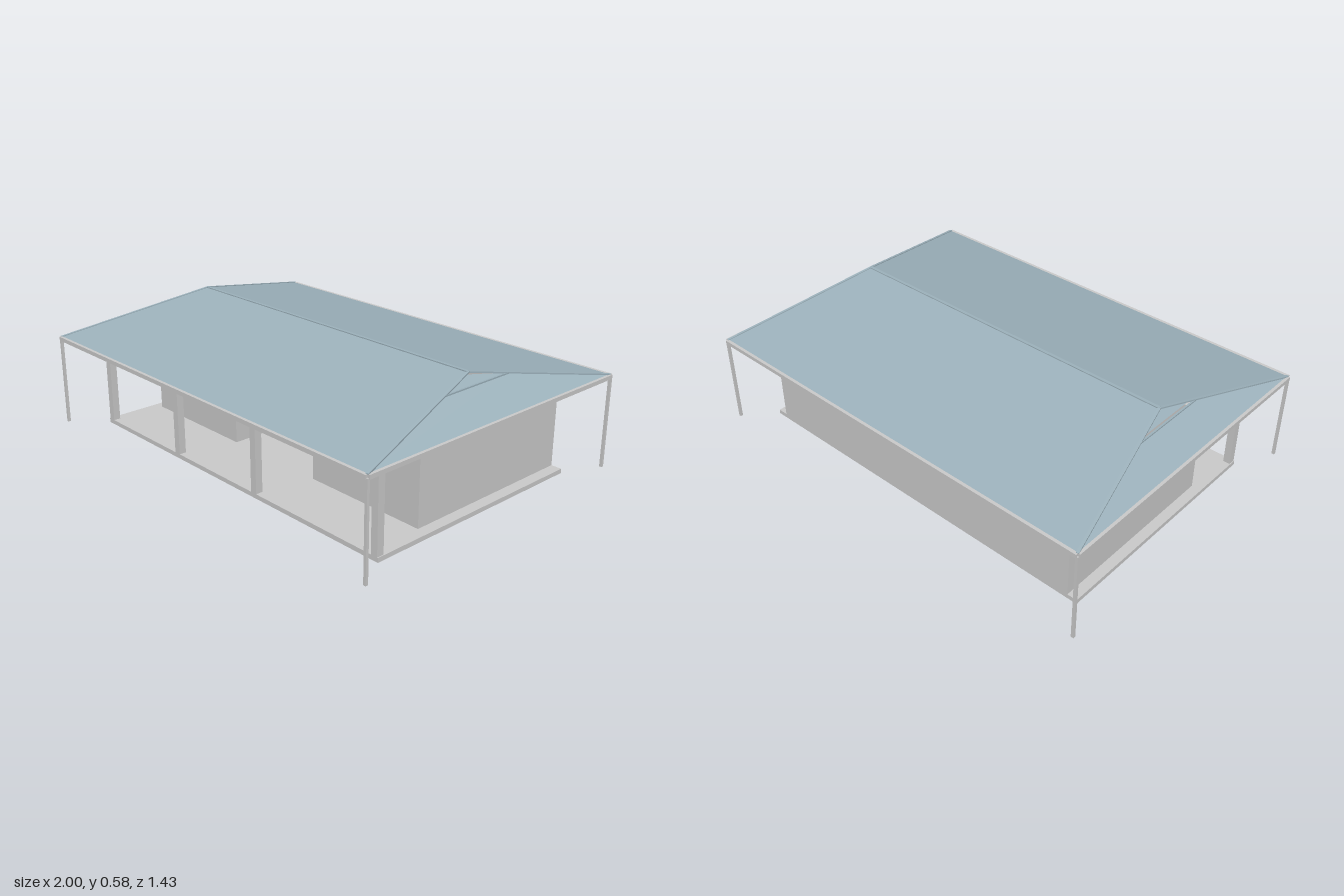
import * as THREE from 'three';

const grey = new THREE.MeshStandardMaterial({ color: 0xcccccc, flatShading: true });
const roofBlue = new THREE.MeshStandardMaterial({ color: 0x9db2bc, flatShading: true, side: THREE.DoubleSide });
const trim = new THREE.MeshStandardMaterial({ color: 0x6fa5bd });

// Box given by its limits on each axis
function box(parent, name, [x0, x1], [y0, y1], [z0, z1], mat = grey) {
  const m = new THREE.Mesh(new THREE.BoxGeometry(x1 - x0, y1 - y0, z1 - z0), mat);
  m.position.set((x0 + x1) / 2, (y0 + y1) / 2, (z0 + z1) / 2);
  m.name = name;
  parent.add(m);
  return m;
}

// Flat convex panel through its corners
function panel(parent, name, pts, mat = roofBlue) {
  const pos = [];
  for (let i = 1; i < pts.length - 1; i++) pos.push(...pts[0], ...pts[i], ...pts[i + 1]);
  const g = new THREE.BufferGeometry();
  g.setAttribute('position', new THREE.Float32BufferAttribute(pos, 3));
  g.computeVertexNormals();
  const m = new THREE.Mesh(g, mat);
  m.name = name;
  parent.add(m);
}

// Straight square bar between two points
function bar(parent, name, a, b, w, h, mat = grey) {
  const p = new THREE.Vector3(...a), q = new THREE.Vector3(...b);
  const m = new THREE.Mesh(new THREE.BoxGeometry(w, h, p.distanceTo(q)), mat);
  m.position.copy(p).lerp(q, 0.5);
  m.lookAt(q);
  m.name = name;
  parent.add(m);
}

// Window frame of four rails standing proud of a wall at z
function windowFrame(parent, name, x0, x1, y0, y1, z) {
  const g = new THREE.Group();
  g.name = name;
  const t = 0.008, zr = [z - 0.005, z + 0.005];
  box(g, 'windowSill', [x0, x1], [y0, y0 + t], zr, trim);
  box(g, 'windowHead', [x0, x1], [y1 - t, y1], zr, trim);
  box(g, 'windowJamb', [x0, x0 + t], [y0, y1], zr, trim);
  box(g, 'windowJamb', [x1 - t, x1], [y0, y1], zr, trim);
  parent.add(g);
}

export function createModel() {
  const house = new THREE.Group();
  house.name = 'house';

  // Floor slab
  box(house, 'floorSlab', [-0.89, 0.89], [0, 0.02], [-0.56, 0.545]);

  // Walls, with an entrance recess in the middle of the front
  const walls = new THREE.Group();
  walls.name = 'walls';
  house.add(walls);
  const wy = [0.02, 0.435], t = 0.03, recess = 0.03;
  const L = -0.845, R = 0.84, rl = -0.26, rr = 0.25;
  box(walls, 'backWall', [L, R], wy, [-0.56, -0.56 + t]);
  box(walls, 'rightWall', [L, L + t], wy, [-0.56 + t, 0.28]);
  box(walls, 'leftWall', [R - t, R], wy, [-0.56 + t, 0.28]);
  box(walls, 'frontWallRight', [L + t, rl - t], wy, [0.25, 0.28]);
  box(walls, 'frontWallLeft', [rr + t, R - t], wy, [0.25, 0.28]);
  box(walls, 'recessSideRight', [rl - t, rl], wy, [recess, 0.28]);
  box(walls, 'recessSideLeft', [rr, rr + t], wy, [recess, 0.28]);
  box(walls, 'recessBack', [rl - t, rr + t], wy, [recess - t, recess]);

  // Windows high on the front and back walls
  windowFrame(house, 'frontWindowRight', -0.71, -0.39, 0.352, 0.43, 0.282);
  windowFrame(house, 'frontWindowLeft', 0.39, 0.71, 0.352, 0.43, 0.282);
  for (const [a, b] of [[0.68, 0.77], [0.25, 0.485], [-0.53, -0.295], [-0.81, -0.715]])
    windowFrame(house, 'backWindow', a, b, 0.305, 0.418, -0.562);

  // Verandah posts
  for (const x of [-0.87, -0.34, 0.187, 0.87])
    box(house, 'verandahPost', [x - 0.016, x + 0.016], [0.02, 0.44], [0.512, 0.545]);

  // Roof: two long slopes and two hips, each with a recessed gablet at the top
  const roof = new THREE.Group();
  roof.name = 'roof';
  house.add(roof);
  const ex = 0.988, ez = 0.706, ey = 0.437, rx = 0.815, ry = 0.575;
  const k = 0.27; // distance down the hip line where the gablet starts
  const hx = rx + (ex - rx) * k, hy = ry + (ey - ry) * k, hz = ez * k;
  for (const s of [-1, 1]) {
    panel(roof, 'longSlope', s > 0
      ? [[-ex, ey, ez], [ex, ey, ez], [rx, ry, 0], [-rx, ry, 0]]
      : [[ex, ey, -ez], [-ex, ey, -ez], [-rx, ry, 0], [rx, ry, 0]]);
    const hip = [[s * ex, ey, s * ez], [s * ex, ey, -s * ez], [s * hx, hy, -s * hz], [s * hx, hy, s * hz]];
    panel(roof, 'hipSlope', hip);
    const d = 0.018;
    panel(roof, 'gablet', [[s * (hx - d), hy - 0.006, s * hz], [s * (hx - d), hy - 0.006, -s * hz],
      [s * (rx - 0.002), ry - 0.012, 0]]);
    bar(roof, 'gabletSill', [s * hx, hy, -hz], [s * hx, hy, hz], 0.008, 0.006, roofBlue);
    for (const q of [-1, 1])
      bar(roof, 'hipCap', [s * ex, ey, q * ez], [s * rx, ry, 0], 0.012, 0.006, roofBlue);
  }
  bar(roof, 'ridgeCap', [-rx, ry, 0], [rx, ry, 0], 0.014, 0.006, roofBlue);

  // Gutters and corner downpipes
  for (const s of [-1, 1]) {
    const zs = s > 0 ? [0.702, 0.716] : [-0.716, -0.702];
    const xs = s > 0 ? [0.986, 1] : [-1, -0.986];
    box(house, 'longGutter', [-0.99, 0.99], [0.42, 0.438], zs);
    box(house, 'endGutter', xs, [0.42, 0.438], [-0.705, 0.705]);
    for (const z of [-0.706, 0.706])
      box(house, 'downpipe', s > 0 ? [0.984, 0.996] : [-0.996, -0.984], [0.02, 0.425], [z - 0.006, z + 0.006]);
  }

  // Eave framing: cross ties, end ties and diagonal corner ties
  const frame = new THREE.Group();
  frame.name = 'eaveFraming';
  house.add(frame);
  const fy = 0.421;
  for (const s of [-1, 1]) {
    for (const x of [-0.84, -0.3, 0, 0.3, 0.84])
      bar(frame, 'crossTie', [x, fy, s * 0.53], [x, fy, s * 0.7], 0.022, 0.014);
    for (const z of [-0.5, -0.2, 0.2, 0.5])
      bar(frame, 'endTie', [s * 0.82, fy, z], [s * 0.985, fy, z], 0.022, 0.014);
    for (const q of [-1, 1])
      bar(frame, 'cornerTie', [s * 0.83, fy, q * 0.54], [s * 0.98, fy, q * 0.695], 0.022, 0.014);
  }
  // Verandah beam joining the post tops
  box(frame, 'verandahBeam', [-0.885, 0.885], [0.425, 0.44], [0.514, 0.543]);

  return house;
}
